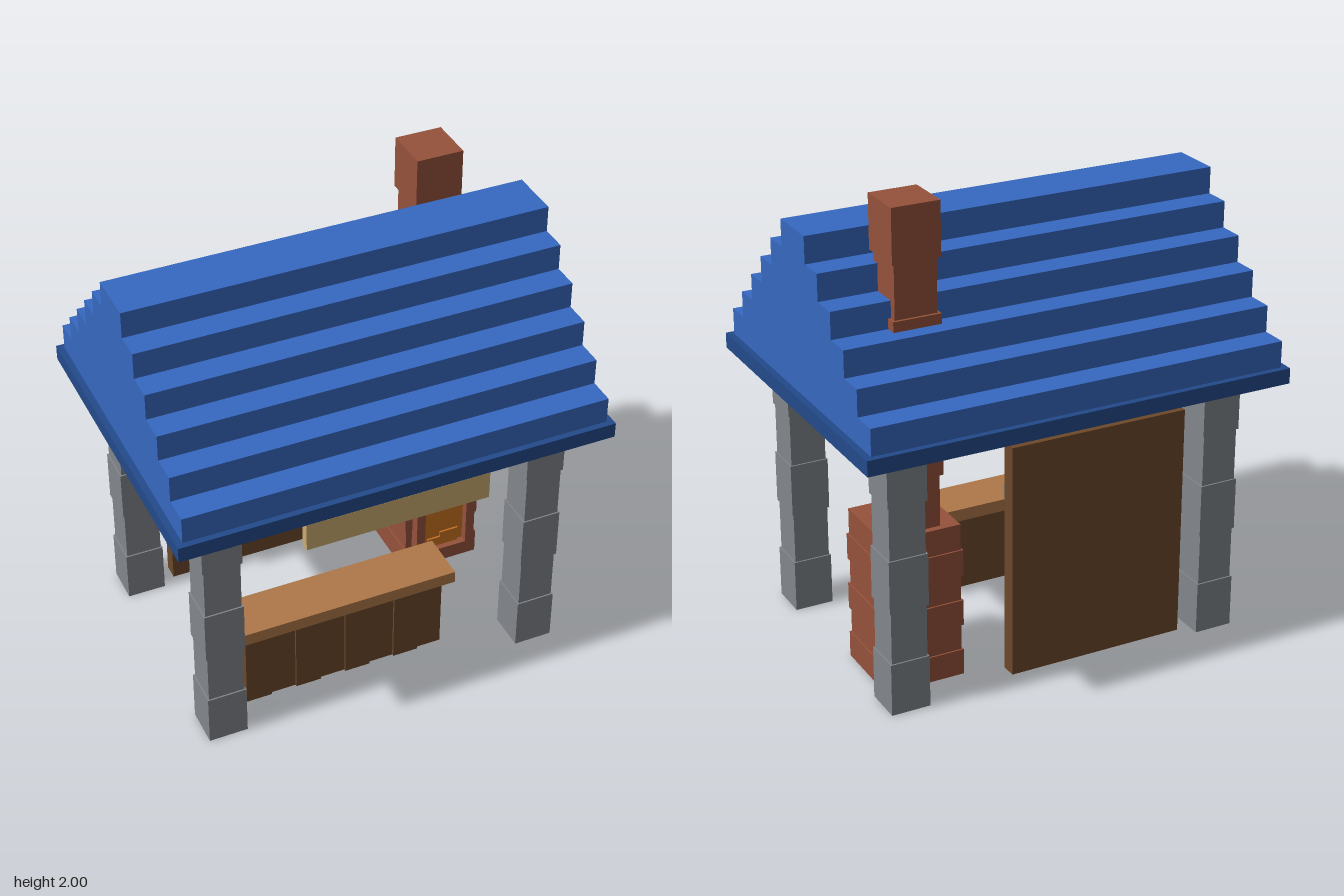
import * as THREE from 'three';

const paint = (name, color) => {
  const m = new THREE.MeshStandardMaterial({ color });
  m.name = name;
  return m;
};

export function createModel() {
  const blue = paint('roof blue', 0x3668c0);
  const navy = paint('trim blue', 0x224a8a);
  const stone = paint('stone grey', 0x82868c);
  const brick = paint('brick red', 0x95523b);
  const wood = paint('dark wood', 0x6c482a);
  const oak = paint('counter oak', 0xae7848);
  const straw = paint('pale wood', 0xcaac70);
  const fire = paint('fire orange', 0xcb7320);

  const model = new THREE.Group();
  model.name = 'marketForge';

  const group = (name) => {
    const g = new THREE.Group();
    g.name = name;
    model.add(g);
    return g;
  };
  // box given by its limits on each axis
  const box = (parent, name, mat, [x0, x1], [y0, y1], [z0, z1]) => {
    const mesh = new THREE.Mesh(new THREE.BoxGeometry(x1 - x0, y1 - y0, z1 - z0), mat);
    mesh.position.set((x0 + x1) / 2, (y0 + y1) / 2, (z0 + z1) / 2);
    mesh.name = name;
    parent.add(mesh);
    return mesh;
  };
  const around = (c, h) => [c - h, c + h];

  // stepped gable roof, one extruded outline, on a dark eave slab
  const roof = group('roof');
  box(roof, 'eave', navy, [-0.915, 0.915], [1.115, 1.18], [-0.693, 0.693]);
  const step = 0.1112;
  const right = [];
  for (let i = 0; i < 6; i++) {
    const w = (6 - i) * step;
    right.push(new THREE.Vector2(w, 1.18 + i * step), new THREE.Vector2(w, 1.18 + (i + 1) * step));
  }
  const left = right.map((p) => new THREE.Vector2(-p.x, p.y)).reverse();
  const gable = new THREE.ExtrudeGeometry(new THREE.Shape([...right, ...left]), { depth: 1.775, bevelEnabled: false });
  gable.translate(0, 0, -0.8875).rotateY(Math.PI / 2);
  const steps = new THREE.Mesh(gable, blue);
  steps.name = 'roofSteps';
  roof.add(steps);

  // four pillars of alternating wide and narrow blocks
  const course = 0.223;
  for (const sx of [-1, 1]) for (const sz of [-1, 1]) {
    const pillar = group('pillar');
    for (let i = 0; i < 5; i++) {
      const h = i % 2 ? 0.076 : 0.0825;
      box(pillar, 'pillarBlock', stone, around(sx * 0.694, h), [i * course, (i + 1) * course], around(sz * 0.473, h));
    }
  }

  // brick oven with chimney
  const oven = group('oven');
  for (let i = 0; i < 6; i++) {
    const h = i % 2 ? 0.165 : 0.172;
    box(oven, 'ovenCourse', brick, around(0.557, h), [i * step, (i + 1) * step], around(-0.228, h));
  }
  for (let i = 0; i < 6; i++) {
    const h = i % 2 ? 0.1 : 0.088;
    box(oven, 'chimneyBlock', brick, around(0.555, h), [0.667 + i * 0.2222, 0.667 + (i + 1) * 0.2222], around(-0.278, h));
  }

  // oven mouth: frame, glow and stepped flame
  const mz = [-0.06, -0.01];
  for (const s of [-1, 1]) {
    box(oven, 'mouthSide', brick, around(0.557 + s * 0.118, 0.02), [0.07, 0.425], mz);
    box(oven, 'mouthBar', brick, [0.459, 0.655], around(0.2475 + s * 0.157, 0.0205), mz);
  }
  box(oven, 'glow', fire, [0.455, 0.66], [0.105, 0.39], [-0.052, -0.044]);
  box(oven, 'flameLow', fire, [0.485, 0.63], [0.111, 0.155], [-0.044, -0.036]);
  box(oven, 'flameHigh', fire, [0.545, 0.63], [0.155, 0.18], [-0.044, -0.036]);

  // counter with uneven front planks
  const counter = group('counter');
  box(counter, 'counterTop', oak, [-0.605, 0.375], [0.336, 0.39], [0.215, 0.432]);
  box(counter, 'counterBody', wood, [-0.555, 0.33], [0, 0.336], [0.25, 0.394]);
  for (let i = 0; i < 8; i++) {
    const x = -0.555 + i * 0.1106;
    box(counter, 'plank', wood, [x, x + 0.1106], [0, 0.336], [0.394, i % 2 ? 0.402 : 0.412]);
  }

  // back board with tool rack and shelf
  const back = group('backBoard');
  box(back, 'board', wood, [-0.555, 0.22], [0, 1], [-0.5, -0.432]);
  box(back, 'shelf', wood, [-0.46, 0.12], [0.36, 0.388], [-0.432, -0.36]);

  [brick, straw, blue].forEach((mat, i) => {
    const x = -0.39 + i * 0.221;
    // hanging pick
    const pick = group('pick');
    box(pick, 'handle', wood, around(x, 0.015), [0.5, 0.865], [-0.42, -0.39]);
    box(pick, 'peg', wood, around(x, 0.01), [0.87, 0.89], [-0.432, -0.39]);
    box(pick, 'pickHead', stone, around(x, 0.102), [0.788, 0.836], [-0.425, -0.378]);
    for (const s of [-1, 1]) {
      box(pick, 'pickTip', stone, around(x + s * 0.12, 0.025), [0.738, 0.798], [-0.421, -0.382]);
    }
    // bottle below it
    const bottle = group('bottle');
    [[0.03, 0.388, 0.408], [0.025, 0.408, 0.48], [0.012, 0.48, 0.512]].forEach(([h, y0, y1]) =>
      box(bottle, 'bottlePart', mat, around(x, h), [y0, y1], around(-0.392, h)));
  });

  // sign hanging from the front eave
  const sign = group('sign');
  box(sign, 'signBoard', straw, [-0.388, 0.388], [0.958, 1.08], [0.615, 0.656]);
  for (const x of [-0.32, 0.32]) {
    box(sign, 'signHook', stone, around(x, 0.016), [1.075, 1.104], around(0.636, 0.016));
    box(sign, 'signLink', stone, around(x, 0.009), [1.1, 1.12], around(0.636, 0.009));
  }

  return model;
}
